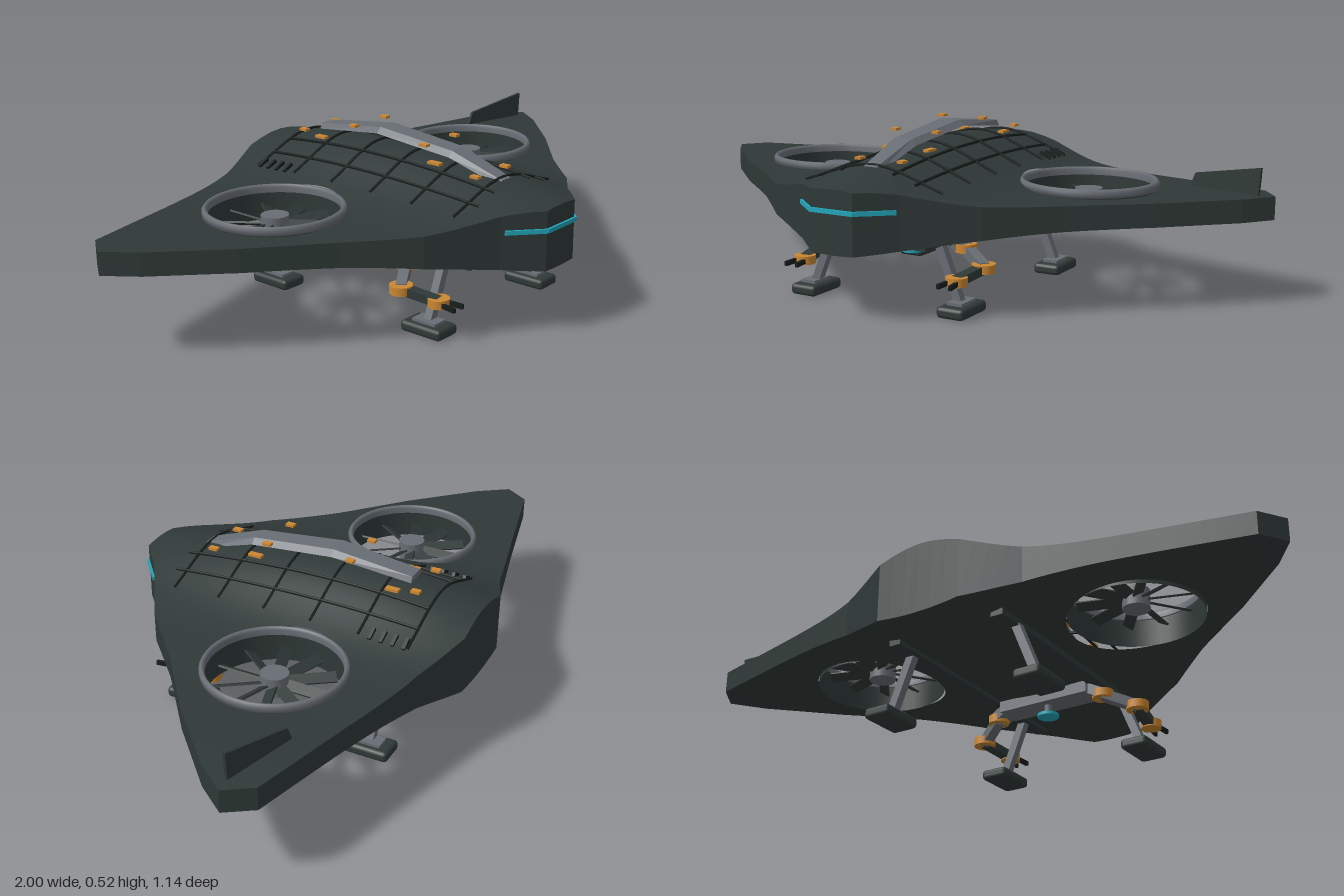
import * as THREE from 'three';
import { mergeVertices } from 'three/addons/utils/BufferGeometryUtils.js';
import { RoundedBoxGeometry } from 'three/addons/geometries/RoundedBoxGeometry.js';

const material = (name, color, side = THREE.FrontSide) => {
  const m = new THREE.MeshStandardMaterial({ color, side });
  m.name = name;
  return m;
};
const V = (x, y, z) => new THREE.Vector3(x, y, z);

// Hull height rules: a central hump above, a shallow belly below
const topY = (x, z) => {
  const d = z + 0.12;
  return 0.33 + (0.13 - (d > 0 ? 0.155 : 0.19) * d * d) * Math.exp(-((x / 0.23) ** 2));
};
const bottomY = (x) => 0.26 - 0.06 * Math.exp(-((x / 0.33) ** 2));

// Half outline in (x, z), from nose round the wing tip to the tail
const OUTLINE = [[0, 0.555], [0.07, 0.555], [0.17, 0.465], [0.36, 0.34], [0.53, 0.175], [0.74, 0],
  [0.93, -0.185], [1, -0.28], [0.945, -0.36], [0.62, -0.435], [0.31, -0.51], [0.14, -0.575], [0, -0.575]];
const FAN = { x: 0.467, z: -0.137, r: 0.205 };

function subdivide(points, step) {
  const out = [];
  points.forEach(([x, z], i) => {
    const [x2, z2] = points[(i + 1) % points.length];
    const n = Math.max(1, Math.round(Math.hypot(x2 - x, z2 - z) / step));
    for (let k = 0; k < n; k++) out.push([x + (x2 - x) * k / n, z + (z2 - z) * k / n]);
  });
  return out;
}

function fromQuads(quads, smooth) {
  const pos = [];
  quads.forEach(([a, b, c, d]) => [a, b, c, a, c, d].forEach((p) => pos.push(p.x, p.y, p.z)));
  let g = new THREE.BufferGeometry();
  g.setAttribute('position', new THREE.Float32BufferAttribute(pos, 3));
  if (smooth) g = mergeVertices(g, 1e-5);
  g.computeVertexNormals();
  return g;
}

// Skin of both halves, spreading from each fan hole to the outline
function skin(yAt, faceDown) {
  const rim = subdivide(OUTLINE, 0.045), steps = 12, quads = [];
  for (const s of [1, -1]) {
    const point = (i, k) => {
      const [x, z] = rim[i % rim.length];
      const dx = x - FAN.x, dz = z - FAN.z, len = Math.hypot(dx, dz);
      const t = (FAN.r + (len - FAN.r) * k / steps) / len;
      const px = FAN.x + dx * t, pz = FAN.z + dz * t;
      return V(s * px, yAt(px, pz), pz);
    };
    for (let i = 0; i < rim.length; i++) for (let k = 0; k < steps; k++) {
      const q = [point(i, k), point(i, k + 1), point(i + 1, k + 1), point(i + 1, k)];
      quads.push((s < 0) !== faceDown ? q.reverse() : q);
    }
  }
  return fromQuads(quads, true);
}

function edgeWall() {
  const rim = subdivide(OUTLINE, 0.045).filter(([x, z]) => x > 0 || Math.abs(z) > 0.553), quads = [];
  for (const s of [1, -1]) for (let i = 0; i < rim.length - 1; i++) {
    const [[x, z], [x2, z2]] = [rim[i], rim[i + 1]];
    const q = [V(s * x, bottomY(x), z), V(s * x2, bottomY(x2), z2), V(s * x2, topY(x2, z2), z2), V(s * x, topY(x, z), z)];
    quads.push(s < 0 ? q.reverse() : q);
  }
  return fromQuads(quads, false);
}

export function createModel() {
  const model = new THREE.Group();
  model.name = 'hoverCraft';
  const hull = material('hull dark green grey', 0x2f3937);
  const hullOpen = material('duct dark green grey', 0x2f3937, THREE.DoubleSide);
  const grey = material('metal grey', 0x686d74);
  const orange = material('joint orange', 0xcb8732);
  const cyan = material('light cyan', 0x22a5ba);
  const black = material('cable black', 0x171d1c);

  const add = (name, geo, mat, x = 0, y = 0, z = 0, parent = model) => {
    const m = new THREE.Mesh(geo, mat);
    m.name = name;
    m.position.set(x, y, z);
    parent.add(m);
    return m;
  };
  const box = (w, h, d) => new THREE.BoxGeometry(w, h, d);
  // Box beam between two points
  const beam = (name, a, b, w, h, mat) => {
    const m = add(name, box(w, h, a.distanceTo(b)), mat);
    m.position.copy(a).lerp(b, 0.5);
    m.lookAt(b);
    return m;
  };

  add('hullTop', skin(topY, false), hull);
  add('hullBottom', skin(bottomY, true), hull);
  add('hullEdge', edgeWall(), hull);

  // Lift fans
  const ringProfile = [[0.197, 0.335], [0.212, 0.335], [0.213, 0.352], [0.207, 0.36], [0.2, 0.36], [0.197, 0.352], [0.197, 0.335]]
    .map(([r, y]) => new THREE.Vector2(r, y));
  for (const s of [1, -1]) {
    const fan = new THREE.Group();
    fan.name = s > 0 ? 'leftFan' : 'rightFan';
    fan.position.set(s * FAN.x, 0, FAN.z);
    model.add(fan);
    add('fanDuct', new THREE.CylinderGeometry(0.203, 0.203, 0.1, 48, 1, true), hullOpen, 0, 0.297, 0, fan);
    add('fanRing', new THREE.LatheGeometry(ringProfile, 48), grey, 0, 0, 0, fan);
    add('fanHub', new THREE.CylinderGeometry(0.042, 0.042, 0.06, 20), grey, 0, 0.3, 0, fan);
    for (let i = 0; i < 10; i++) {
      const arm = new THREE.Group();
      arm.name = 'fanBlade';
      arm.rotation.y = (i + 0.5) * Math.PI / 5;
      fan.add(arm);
      add('blade', box(0.14, 0.006, 0.034), hull, 0.107, 0.3, 0, arm).rotation.x = 0.5;
    }
  }

  // Raised spine plate, lofted along z: [z, top y, top half width, base half width]
  const spine = [[0.36, 0.425, 0.022, 0.03], [0.18, 0.485, 0.03, 0.046], [-0.1, 0.513, 0.034, 0.052], [-0.357, 0.482, 0.028, 0.036]]
    .map(([z, y, a, b]) => [V(a, y, z), V(-a, y, z), V(-b, y - 0.018, z), V(b, y - 0.018, z)]);
  const spineQuads = [[...spine[0]], [...spine[3]].reverse()];
  for (let i = 0; i < 3; i++) for (let k = 0; k < 4; k++) {
    const n = (k + 1) % 4;
    spineQuads.push([spine[i][k], spine[i + 1][k], spine[i + 1][n], spine[i][n]]);
  }
  add('spinePlate', fromQuads(spineQuads, false), grey);

  // Cable net lying on the hull
  const cable = (name, at) => {
    const pts = Array.from({ length: 17 }, (_, i) => at(i / 16)).map(([x, z]) => V(x, topY(x, z) + 0.003, z));
    add(name, new THREE.TubeGeometry(new THREE.CatmullRomCurve3(pts), 24, 0.0045, 6), black);
  };
  for (const x of [-0.165, -0.09, 0.09, 0.165]) cable('longCable', (t) => [x, 0.385 - 0.825 * t]);
  for (let i = 0; i < 6; i++) cable('crossCable', (t) => [-0.24 + 0.48 * t, 0.347 - 0.1575 * i]);

  for (const s of [1, -1]) {
    // Rear vents beside the net
    for (let i = 0; i < 4; i++) {
      const z = -0.43 + i * 0.036;
      add('ventSlat', box(0.04, 0.012, 0.01), black, s * 0.225, topY(0.225, z) + 0.004, z).rotation.z = -s * 0.5;
    }
    // Orange clips along the spine: [z, y, length]
    for (const [z, y, len] of [[0.302, 0.437, 0.03], [0.15, 0.451, 0.045], [0.108, 0.5, 0.028], [-0.175, 0.512, 0.026], [-0.315, 0.452, 0.042], [-0.39, 0.464, 0.028]])
      add('spineClip', box(0.02, 0.008, len), orange, s * 0.074, y, z);

    // Under rail and landing legs
    add('underRail', box(0.04, 0.026, 0.82), hull, s * 0.18, 0.212, -0.03);
    for (const z of [0.278, -0.342]) {
      beam('landingLeg', V(s * 0.185, 0.21, z), V(s * 0.255, 0.035, z), 0.026, 0.026, grey);
      add('footPlate', box(0.05, 0.012, 0.085), grey, s * 0.26, 0.037, z);
      add('foot', new RoundedBoxGeometry(0.09, 0.034, 0.148, 2, 0.012), hull, s * 0.26, 0.017, z);
    }

    // Manipulator arm
    const shoulder = V(s * 0.195, 0.165, 0.14), elbow = V(s * 0.287, 0.125, 0.195), wrist = V(s * 0.268, 0.11, 0.322);
    beam('armBracket', V(s * 0.15, 0.188, 0.135), shoulder, 0.06, 0.032, grey);
    beam('upperArm', shoulder, elbow, 0.032, 0.032, grey);
    beam('foreArm', elbow, wrist, 0.034, 0.026, hull);
    [[shoulder, 0.034], [elbow, 0.036], [wrist, 0.033]].forEach(([p, r]) =>
      add('armJoint', new THREE.CylinderGeometry(r, r, 0.026, 16), orange, p.x, p.y, p.z));
    for (const k of [-1, 1])
      beam('gripper', V(wrist.x + k * 0.014, 0.109, 0.335), V(wrist.x + k * 0.02, 0.107, 0.395), 0.01, 0.014, black);
    // Nose light, slanted part
    beam('noseLightSide', V(s * 0.07, 0.326, 0.558), V(s * 0.163, 0.326, 0.475), 0.009, 0.013, cyan);
  }
  add('noseLight', box(0.145, 0.013, 0.009), cyan, 0, 0.326, 0.558);
  add('armCrossbar', box(0.32, 0.036, 0.09), grey, 0, 0.188, 0.137);
  add('bellySensorStem', new THREE.CylinderGeometry(0.012, 0.012, 0.04, 12), grey, 0, 0.155, 0.13);
  add('bellySensor', new THREE.CylinderGeometry(0.034, 0.034, 0.01, 24), cyan, 0, 0.134, 0.13);

  // Single tail fin on the left wing
  const finShape = new THREE.Shape([[0, 0.325], [0.24, 0.325], [0.246, 0.413], [0.02, 0.372]].map(([x, y]) => new THREE.Vector2(x, y)));
  const fin = add('wingFin', new THREE.ExtrudeGeometry(finShape, { depth: 0.01, bevelEnabled: false }), hull, 0.72, 0, -0.335);
  fin.rotation.y = -0.24;
  return model;
}
